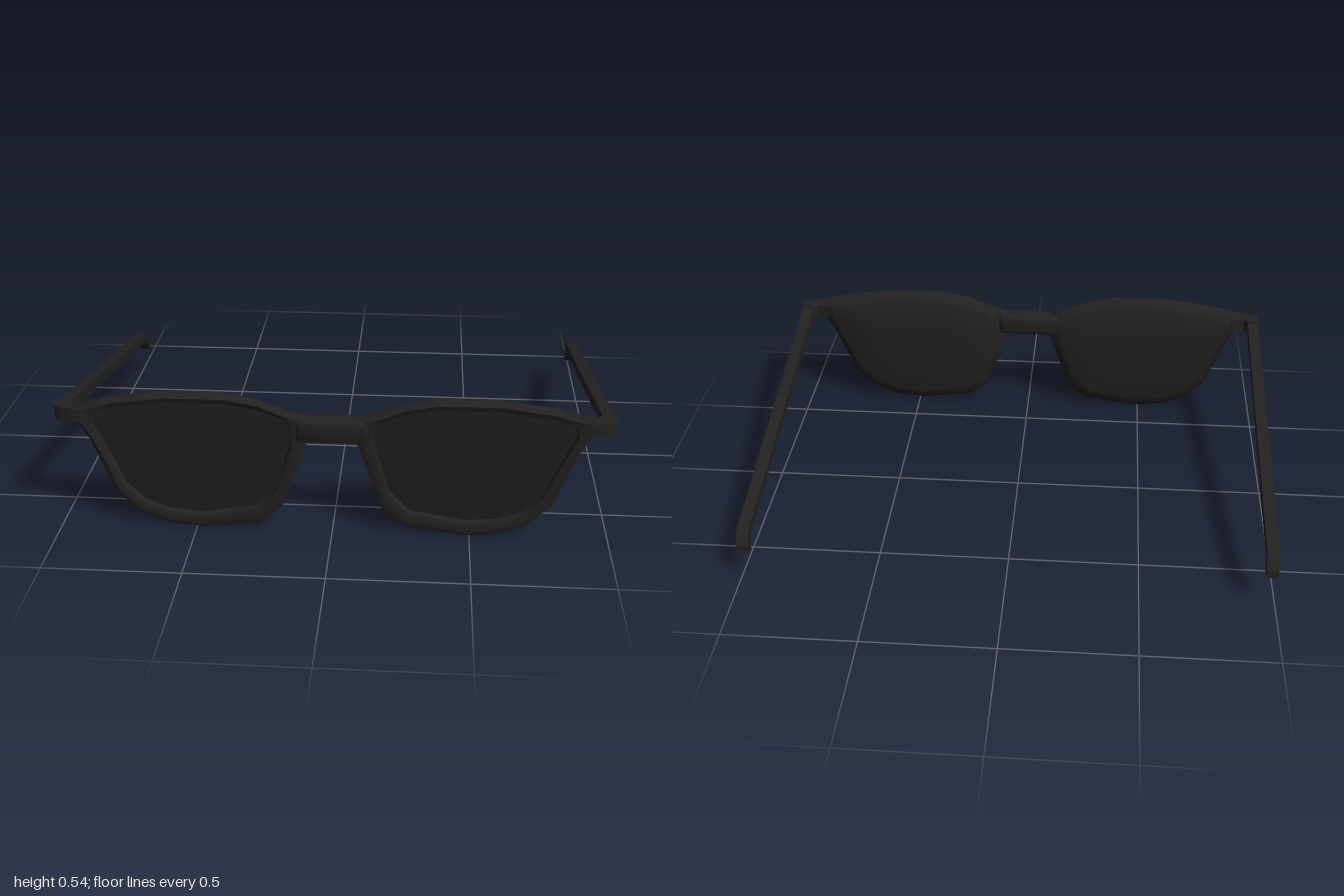
import * as THREE from 'three';
import { toCreasedNormals } from 'three/addons/utils/BufferGeometryUtils.js';
import { RoundedBoxGeometry } from 'three/addons/geometries/RoundedBoxGeometry.js';

// Outer edge of one rim and the matching edge of its lens opening, counterclockwise
const RIM = [[.09, .36], [.185, .09], [.27, .03], [.485, .002], [.6, .015], [.7, .05], [.79, .135], [.875, .35],
  [.915, .415], [.93, .477], [.79, .515], [.6, .54], [.38, .54], [.26, .515], [.165, .475], [.09, .45]];
const LENS = [[.15, .36], [.205, .17], [.28, .09], [.48, .055], [.6, .065], [.69, .1], [.755, .165], [.84, .36],
  [.865, .41], [.855, .45], [.78, .475], [.6, .5], [.38, .5], [.27, .485], [.19, .455], [.16, .42]];
const CENTRE = [.48, .28];

// Ring at z: k = 0 on the rim edge, 1 on the lens edge, 2 collapsed to the centre
function ring(k, z, topZ = z) {
  return RIM.map((r, i) => {
    const a = k <= 1 ? r : LENS[i], b = k <= 1 ? LENS[i] : CENTRE, t = k <= 1 ? k : k - 1;
    return [a[0] + (b[0] - a[0]) * t, a[1] + (b[1] - a[1]) * t, r[1] > .5 ? topZ : z];
  });
}

// Joins consecutive rings, leaving out triangles that collapse at the centre
function loft(rings) {
  const pos = [], n = RIM.length;
  const same = (p, q) => p.every((v, i) => Math.abs(v - q[i]) < 1e-6);
  const tri = (a, b, c) => {
    if (!same(a, b) && !same(b, c) && !same(a, c)) pos.push(...a, ...b, ...c);
  };
  for (let r = 0; r < rings.length - 1; r++) {
    for (let i = 0; i < n; i++) {
      const j = (i + 1) % n, p = rings[r], q = rings[r + 1];
      tri(p[i], q[i], q[j]);
      tri(p[i], q[j], p[j]);
    }
  }
  const geo = new THREE.BufferGeometry();
  geo.setAttribute('position', new THREE.Float32BufferAttribute(pos, 3));
  return geo;
}

// Reflects a triangle list in x and turns its faces outward again
function mirror(geo) {
  const src = geo.getAttribute('position'), pos = [];
  for (let i = 0; i < src.count; i += 3) {
    for (const k of [i, i + 2, i + 1]) pos.push(-src.getX(k), src.getY(k), src.getZ(k));
  }
  const out = new THREE.BufferGeometry();
  out.setAttribute('position', new THREE.Float32BufferAttribute(pos, 3));
  return out;
}

function extrude(points, depth) {
  const shape = new THREE.Shape(points.map(p => new THREE.Vector2(...p)));
  return new THREE.ExtrudeGeometry(shape, { depth, bevelEnabled: false });
}

export function createModel() {
  const model = new THREE.Group();
  const frameMat = new THREE.MeshStandardMaterial({ color: 0x222222 });
  const lensMat = new THREE.MeshStandardMaterial({ color: 0x1e1e1e });

  const add = (name, geo, mat, crease) => {
    const mesh = new THREE.Mesh(toCreasedNormals(geo, crease), mat);
    mesh.name = name;
    model.add(mesh);
  };
  const addPair = (name, geo, mat, crease) => {
    add('left' + name, geo, mat, crease);
    add('right' + name, mirror(geo), mat, crease);
  };

  // Rims with a closed, softly domed back
  addPair('Rim', loft([
    ring(1, .662), ring(.9, .682), ring(.4, .69), ring(0, .68, .67),
    ring(0, .65, .657), ring(.6, .626), ring(1, .618), ring(1.5, .615), ring(2, .614),
  ]), frameMat, .9);

  // Recessed lenses
  addPair('Lens', loft([ring(2, .668), ring(1.5, .667), ring(1, .662)]), lensMat, .9);

  // Bridge
  const bridge = new RoundedBoxGeometry(.26, .087, .075, 2, .015);
  bridge.translate(0, .408, .656);
  add('bridge', bridge, frameMat, .7);

  // End pieces wrapping the front corners, drawn in plan as (x, -z)
  const endPiece = extrude([[.88, -.688], [.91, -.692], [.975, -.682], [1, -.665], [1, -.61],
    [.955, -.61], [.94, -.628], [.88, -.62]], .05);
  endPiece.rotateX(-Math.PI / 2).translate(0, .422, 0);
  addPair('EndPiece', endPiece, frameMat, .6);

  // Temples with hooked tips, drawn from the side as (-z, y)
  const temple = extrude([[-.65, .434], [.635, .18], [.665, .13], [.695, .13], [.695, .165], [.672, .205],
    [.64, .218], [-.62, .466], [-.65, .47]], .045);
  temple.rotateY(Math.PI / 2).translate(.955, 0, 0);
  addPair('Temple', temple, frameMat, .4);

  return model;
}
